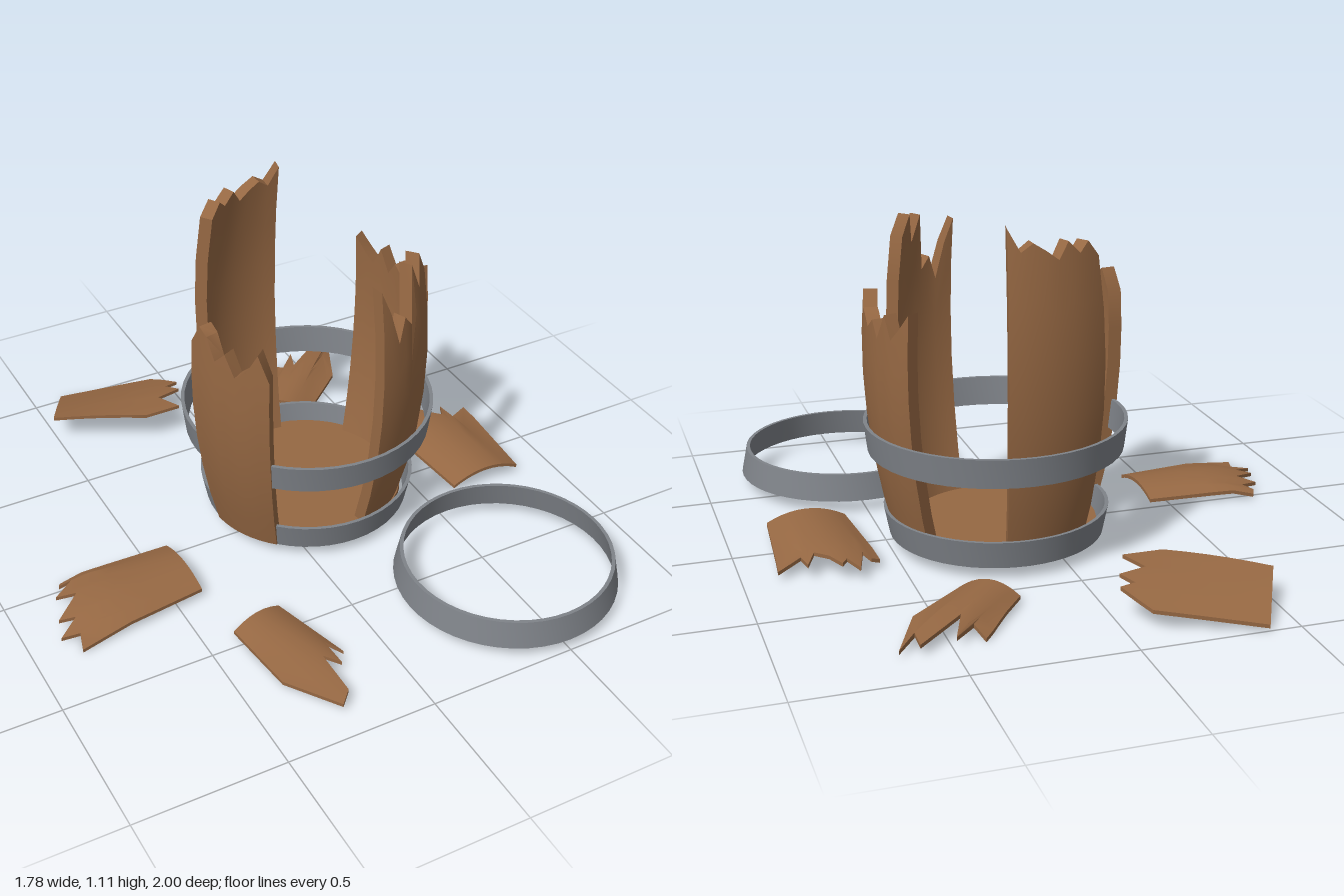
import * as THREE from 'three';
import { toCreasedNormals } from 'three/addons/utils/BufferGeometryUtils.js';

const wood = new THREE.MeshStandardMaterial({ color: 0x966843 });
wood.name = 'wood';
const iron = new THREE.MeshStandardMaterial({ color: 0x7f8389 });
iron.name = 'iron';

function part(name, geometry, material) {
  const mesh = new THREE.Mesh(toCreasedNormals(geometry, 0.6), material);
  mesh.name = name;
  return mesh;
}

// Closed curved plank: outer(i, j) and inner(i, j) give its two skins
function plank(cols, rows, outer, inner) {
  const pos = [];
  const quad = (a, b, c, d) => [a, b, c, a, c, d].forEach((p) => pos.push(...p));
  for (let i = 0; i < cols; i++) {
    for (let j = 0; j < rows; j++) {
      quad(outer(i, j), outer(i + 1, j), outer(i + 1, j + 1), outer(i, j + 1));
      quad(inner(i + 1, j), inner(i, j), inner(i, j + 1), inner(i + 1, j + 1));
    }
    quad(inner(i, 0), inner(i + 1, 0), outer(i + 1, 0), outer(i, 0));
    quad(outer(i, rows), outer(i + 1, rows), inner(i + 1, rows), inner(i, rows));
  }
  for (let j = 0; j < rows; j++) {
    quad(inner(0, j), outer(0, j), outer(0, j + 1), inner(0, j + 1));
    quad(outer(cols, j), inner(cols, j), inner(cols, j + 1), outer(cols, j + 1));
  }
  const g = new THREE.BufferGeometry();
  g.setAttribute('position', new THREE.Float32BufferAttribute(pos, 3));
  return g;
}

// Standing stave between two angles (degrees from the front), with a broken top
function stave(name, from, to, shift, tops) {
  const cols = tops.length - 1, rows = 6, base = 0.045;
  const mid = THREE.MathUtils.degToRad((from + to) / 2);
  const skin = (inset) => (i, j) => {
    const phi = THREE.MathUtils.degToRad(from + (to - from) * i / cols);
    const y = base + (tops[i] - base) * j / rows;
    const r = 0.42 - 0.24 * (y - 0.65) ** 2 - inset;
    return [r * Math.sin(phi) + shift * Math.sin(mid), y, r * Math.cos(phi) + shift * Math.cos(mid)];
  };
  return part(name, plank(cols, rows, skin(0), skin(0.045)), wood);
}

// Loose piece on the ground: butt edge a-b, splintered tips, height rule
function fragment(name, a, b, tips, height) {
  const cols = tips.length - 1, rows = 5;
  const skin = (drop) => (i, j) => {
    const u = i / cols, v = j / rows;
    const x = THREE.MathUtils.lerp(THREE.MathUtils.lerp(a[0], b[0], u), tips[i][0], v);
    const z = THREE.MathUtils.lerp(THREE.MathUtils.lerp(a[1], b[1], u), tips[i][1], v);
    return [x, Math.max(0.012, height(x, z, 4 * u * (1 - u))) - drop, z];
  };
  return part(name, plank(cols, rows, skin(0), skin(0.012)), wood);
}

// Conical band
function hoop(name, rBottom, rTop, y0, y1) {
  const t = 0.012;
  const profile = [[rBottom, y0], [rTop, y1], [rTop - t, y1], [rBottom - t, y0], [rBottom, y0]];
  const g = new THREE.LatheGeometry(profile.map((p) => new THREE.Vector2(...p)), 48);
  return part(name, g, iron);
}

export function createModel() {
  const model = new THREE.Group();
  model.name = 'brokenBarrel';

  // Standing remains
  const barrel = new THREE.Group();
  barrel.name = 'barrel';
  barrel.position.set(0.15, 0, -0.085);
  const floor = part('barrelFloor', new THREE.CylinderGeometry(0.325, 0.325, 0.025, 40), wood);
  floor.position.y = 0.062;
  barrel.add(
    floor,
    hoop('lowerHoop', 0.347, 0.365, 0.04, 0.13),
    hoop('upperHoop', 0.412, 0.424, 0.325, 0.42),
    stave('frontStave', 9, 45, -0.02, [1.0, 0.92, 0.8, 0.88, 0.84, 1.03, 0.94, 1.04, 0.97]),
    stave('rightSideStave', -86, -43, 0.025, [0.79, 0.86, 0.84, 0.77, 0.81, 0.74, 0.77, 0.84, 0.75]),
    stave('leftSideStave', 79, 125, 0, [0.85, 0.8, 0.79, 0.76, 0.79, 0.74, 0.82, 0.75, 0.79, 0.84]),
    stave('backStave', 169, 216, 0, [1.11, 1.04, 1.065, 1.04, 1.01, 1.06, 1.02, 1.05, 1.0]),
  );
  model.add(barrel);

  // Fallen hoop
  const fallen = hoop('fallenHoop', 0.365, 0.347, 0.04, 0.13);
  fallen.position.set(0.5, 0, 0.63);
  model.add(fallen);

  // Scattered fragments
  model.add(
    fragment('backRightFragment', [-0.4, -1], [-0.51, -0.78],
      [[-0.08, -0.89], [-0.05, -0.84], [-0.02, -0.78], [-0.07, -0.77], [-0.04, -0.72], [-0.13, -0.7], [-0.09, -0.61], [-0.22, -0.61]],
      (x, z) => 0.02 + 0.1 * Math.sin(Math.min(1, (z + 1) / 0.39) * Math.PI / 2)),
    fragment('backLeftFragment', [0.23, -0.6], [0.37, -0.47],
      [[0.4, -0.82], [0.42, -0.76], [0.49, -0.83], [0.45, -0.73], [0.6, -0.85], [0.6, -0.78], [0.66, -0.84], [0.57, -0.64]],
      (x, z, arch) => 0.025 + 0.035 * arch - 0.15 * Math.max(0, -z - 0.7)),
    fragment('leftFragment', [0.6, 0.17], [0.86, 0.17],
      [[0.57, -0.22], [0.6, -0.23], [0.62, -0.2], [0.65, -0.31], [0.68, -0.25], [0.7, -0.28], [0.73, -0.22], [0.77, -0.18], [0.8, -0.24], [0.81, -0.17], [0.89, -0.22]],
      (x, z, arch) => 0.038 + 0.035 * arch - 0.1 * Math.max(0, -z - 0.15)),
    fragment('rightFragment', [-0.41, 0.24], [-0.42, -0.01],
      [[-0.85, 0.3], [-0.83, 0.23], [-0.89, 0.22], [-0.82, 0.17], [-0.87, 0.15], [-0.78, 0.08], [-0.84, 0.05], [-0.77, 0.01], [-0.81, 0], [-0.8, -0.02]],
      (x, z, arch) => 0.035 + 0.027 * arch - 0.27 * Math.max(0, -x - 0.72)),
    fragment('frontRightFragment', [-0.22, 0.41], [-0.4, 0.45],
      [[-0.14, 0.69], [-0.18, 0.64], [-0.18, 0.75], [-0.22, 0.7], [-0.22, 0.86], [-0.26, 0.9], [-0.37, 0.72]],
      (x, z, arch) => 0.018 + 0.025 * arch),
  );
  return model;
}
